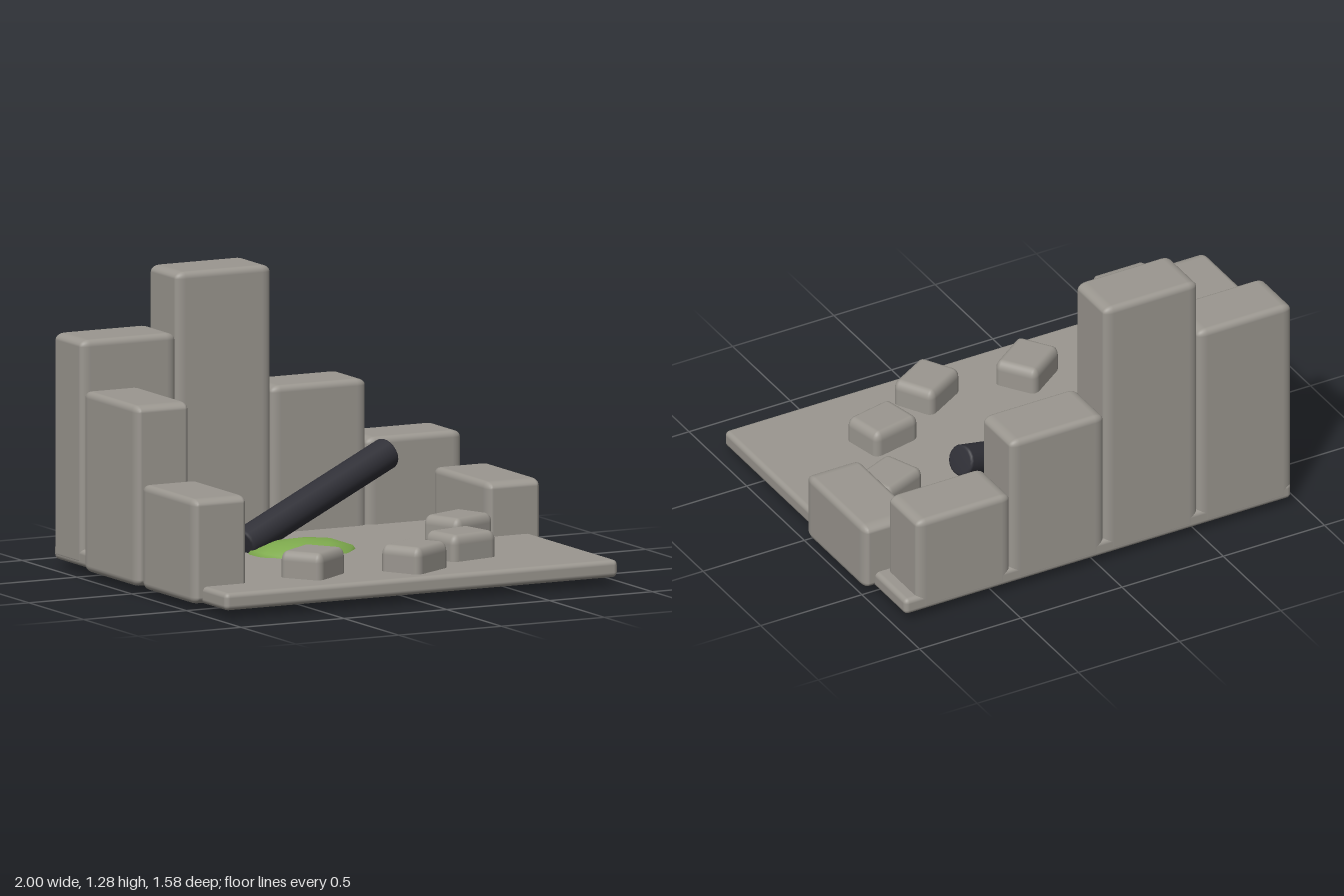
import * as THREE from 'three';
import { RoundedBoxGeometry } from 'three/addons/geometries/RoundedBoxGeometry.js';

export function createModel() {
  const model = new THREE.Group();
  const mat = (name, color) => {
    const m = new THREE.MeshStandardMaterial({ color });
    m.name = name;
    return m;
  };
  const stone = mat('stone grey', 0x9b9790);
  const charcoal = mat('charcoal', 0x303037);
  const moss = mat('moss green', 0x7fab4e);

  const add = (name, geometry, material) => {
    const mesh = new THREE.Mesh(geometry, material);
    mesh.name = name;
    model.add(mesh);
    return mesh;
  };

  // Soft-edged block whose rounding widens with its width and depth
  const block = (name, x, z, w, d, y0, y1, r = 0.03) => {
    const geo = new RoundedBoxGeometry(0.3, y1 - y0, 0.3, 3, r);
    geo.scale(w / 0.3, 1, d / 0.3);
    const mesh = add(name, geo, stone);
    mesh.position.set(x, (y0 + y1) / 2, z);
    return mesh;
  };

  // Floor slab
  const slab = add('floorSlab', new RoundedBoxGeometry(1.91, 0.076, 1.575, 3, 0.022), stone);
  slab.position.set(-0.005, 0.073, -0.002);

  // Back wall, four blocks of different heights
  [1.02, 1.28, 0.75, 0.49].forEach((top, i) =>
    block('backBlock' + (i + 1), -0.73 + i * 0.463, -0.66, 0.463, 0.26, 0.034, top));

  // Side walls
  block('rightRearBlock', -0.87, -0.2, 0.26, 0.5, 0.034, 0.82);
  block('rightFrontBlock', -0.87, 0.328, 0.26, 0.495, 0.034, 0.49);
  block('leftBlock', 0.87, -0.268, 0.26, 0.52, 0.034, 0.345);

  // Loose stones: x, z, turn in degrees
  [[-0.396, 0.52, 35], [0.062, 0.587, 30], [0.392, 0.39, 12], [0.59, -0.005, 22]].forEach(([x, z, turn], i) => {
    block('looseStone' + (i + 1), x, z, 0.245, 0.2, 0.06, 0.226, 0.042).rotation.y = THREE.MathUtils.degToRad(turn);
  });

  // Leaning column with bevelled ends
  const a = new THREE.Vector3(-0.385, 0.145, -0.14);
  const b = new THREE.Vector3(0.452, 0.447, -0.388);
  const h = a.distanceTo(b) / 2, r = 0.07, e = 0.013;
  const profile = [[0, -h], [r - e, -h], [r - e / 3, -h + e / 3], [r, -h + e], [r, h - e], [r - e / 3, h - e / 3], [r - e, h], [0, h]];
  const column = add('fallenColumn', new THREE.LatheGeometry(profile.map(p => new THREE.Vector2(...p)), 20), charcoal);
  column.position.addVectors(a, b).multiplyScalar(0.5);
  column.quaternion.setFromUnitVectors(new THREE.Vector3(0, 1, 0), b.clone().sub(a).normalize());

  // Flattened mossy mound, sunk through the slab
  const mound = add('mossMound', new THREE.IcosahedronGeometry(1, 1), moss);
  mound.scale.set(0.275, 0.084, 0.19);
  mound.position.set(-0.14, 0.084, -0.06);
  mound.rotation.y = 0.08;

  return model;
}
